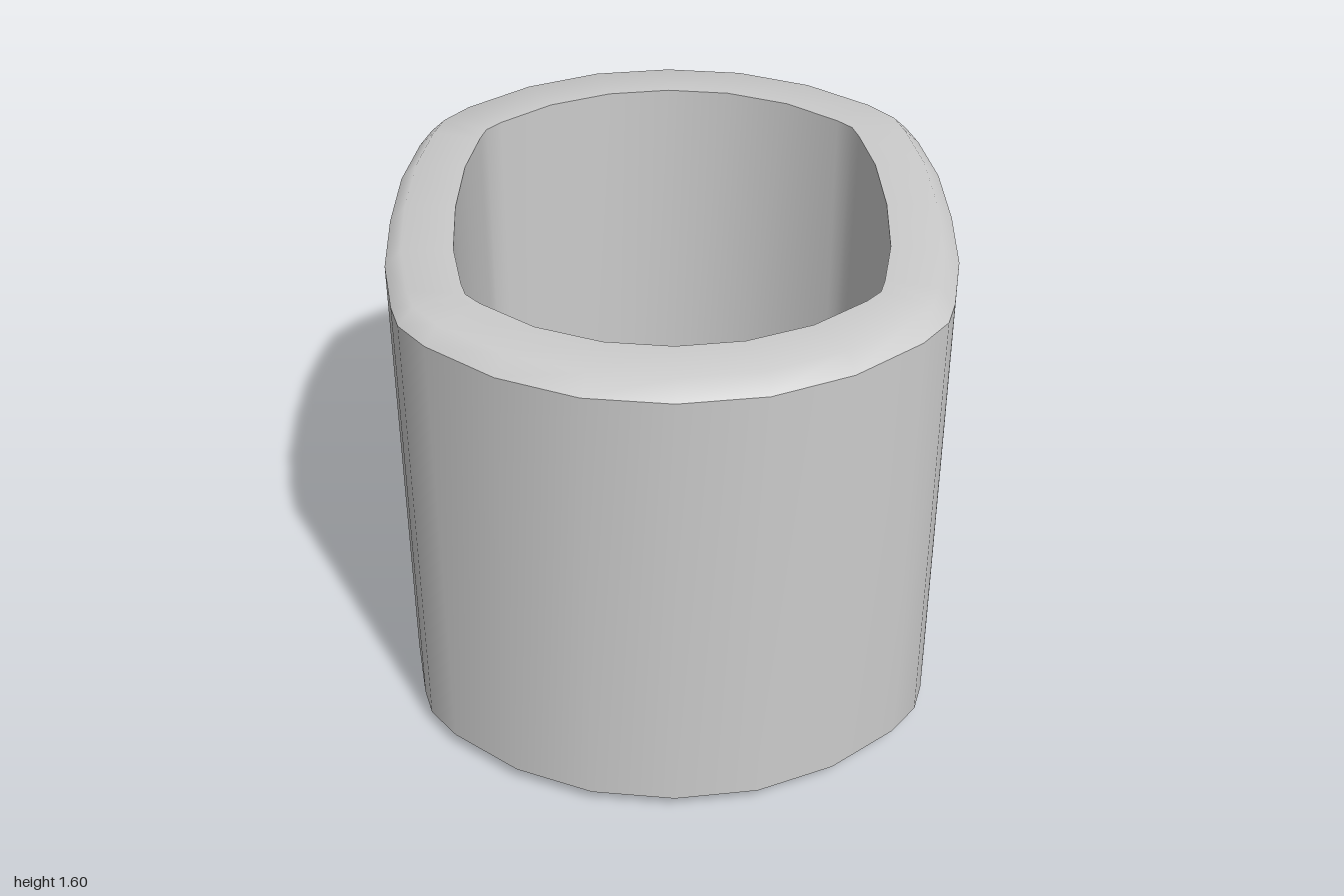
import * as THREE from 'three';

// One quarter of each outline, from front centre (+z) round to the left side (+x)
const outerQuarter = [[0, 1], [0.26, 0.968], [0.5, 0.866], [0.705, 0.707], [0.79, 0.6], [0.82, 0.5], [0.86, 0.27], [0.87, 0]];
const innerQuarter = [[0, 0.79], [0.2, 0.765], [0.395, 0.685], [0.555, 0.56], [0.6, 0.51], [0.617, 0.45], [0.653, 0.255], [0.665, 0]];

const HEIGHT = 1.6;
const BEVEL = 0.05;
const INSET = 0.24; // share of the wall thickness taken by the bevel

// Mirror a quarter into a closed loop, anticlockwise seen from above
function mirrorLoop(q) {
  const back = q.slice(0, -1).reverse().map(([x, z]) => [x, -z]);
  const half = [...q, ...back];
  const otherHalf = half.slice(1, -1).reverse().map(([x, z]) => [-x, z]);
  return [...half, ...otherHalf];
}

// Smooth skin over a sequence of matching rings
function loft(name, rings, material) {
  const n = rings[0].loop.length;
  const positions = [];
  const index = [];
  for (const { loop, y } of rings) for (const [x, z] of loop) positions.push(x, y, z);
  for (let r = 0; r < rings.length - 1; r++) {
    for (let i = 0; i < n; i++) {
      const j = (i + 1) % n;
      const a = r * n + i, b = r * n + j, c = a + n, d = b + n;
      index.push(a, b, d, a, d, c);
    }
  }
  const geometry = new THREE.BufferGeometry();
  geometry.setAttribute('position', new THREE.Float32BufferAttribute(positions, 3));
  geometry.setIndex(index);
  geometry.computeVertexNormals();
  const mesh = new THREE.Mesh(geometry, material);
  mesh.name = name;
  return mesh;
}

export function createModel() {
  const group = new THREE.Group();
  group.name = 'hollowSleeve';
  const material = new THREE.MeshStandardMaterial({ color: 0xcccccc });

  const outer = mirrorLoop(outerQuarter);
  const inner = mirrorLoop(innerQuarter);
  const edge = outer.map(([x, z], i) => [
    THREE.MathUtils.lerp(x, inner[i][0], INSET),
    THREE.MathUtils.lerp(z, inner[i][1], INSET),
  ]);
  const ring = (loop, y) => ({ loop, y });

  group.add(
    // Outer wall
    loft('outerWall', [ring(outer, BEVEL), ring(outer, HEIGHT - BEVEL)], material),
    // Top bevel and flat rim
    loft('topRim', [ring(outer, HEIGHT - BEVEL), ring(edge, HEIGHT), ring(inner, HEIGHT)], material),
    // Inner wall of the through hole
    loft('innerWall', [ring(inner, HEIGHT), ring(inner, 0)], material),
    // Bottom rim and bevel
    loft('bottomRim', [ring(inner, 0), ring(edge, 0), ring(outer, BEVEL)], material),
  );
  return group;
}
